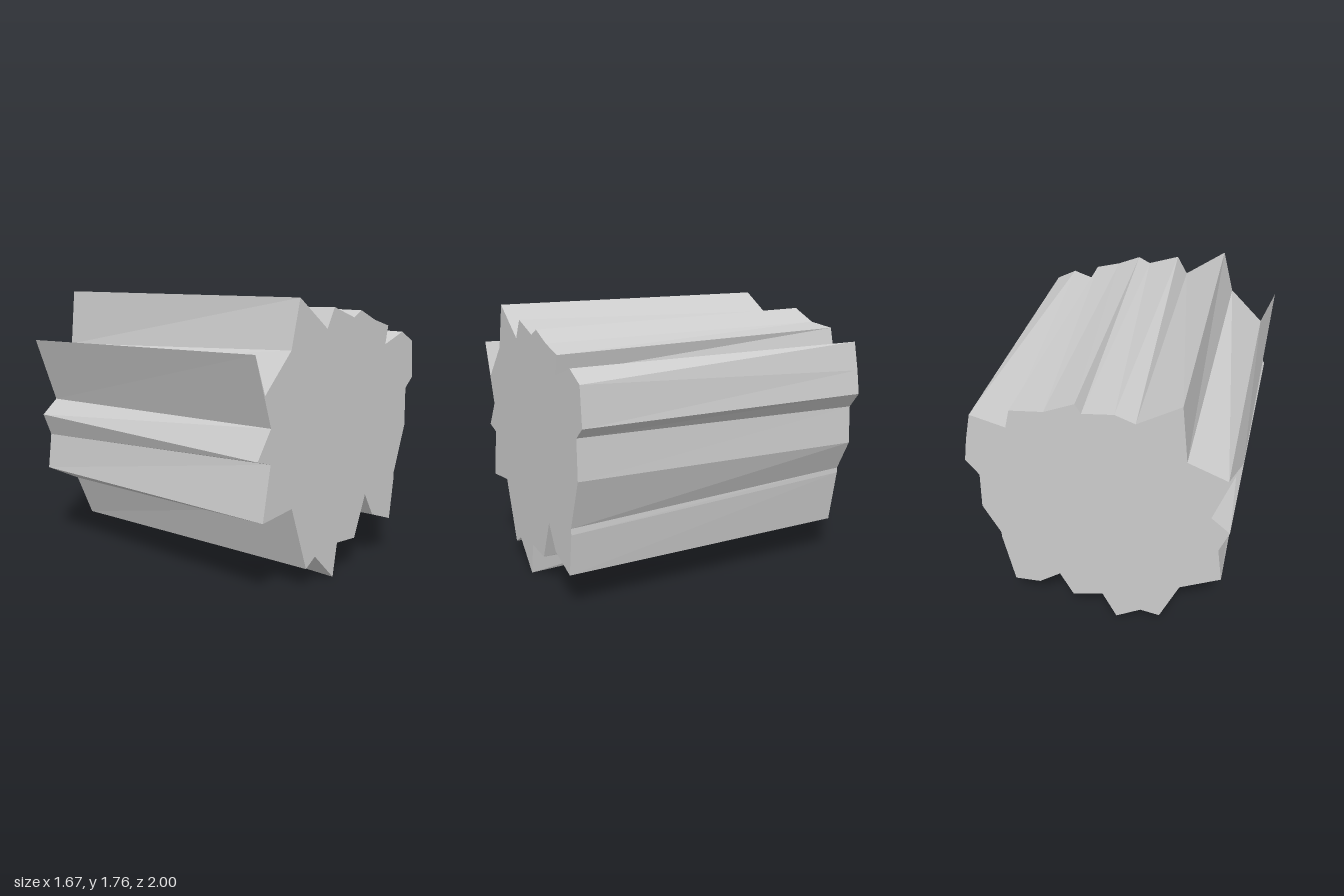
import * as THREE from 'three';

// Jagged outline, clockwise from the upper left: [front x, front y, back x, back y]
const OUTLINE = [
  [-0.45, 1.76, -0.48, 1.757], [-0.18, 1.57, -0.22, 1.605], [-0.11, 1.695, -0.1, 1.65],
  [0.1, 1.625, 0.09, 1.63], [0.18, 1.665, 0.125, 1.69], [0.335, 1.6, 0.31, 1.61],
  [0.5, 1.555, 0.515, 1.59], [0.47, 1.435, 0.545, 1.467], [0.68, 1.505, 0.76, 1.525],
  [0.815, 1.435, 0.8, 1.34], [0.835, 1.19, 0.825, 1.185], [0.75, 1.12, 0.745, 1.085],
  [0.755, 0.865, 0.755, 0.835], [0.635, 0.545, 0.65, 0.63], [0.637, 0.505, 0.65, 0.595],
  [0.597, 0.235, 0.585, 0.235], [0.38, 0.31, 0.42, 0.24], [0.283, 0.468, 0.28, 0.34],
  [0.17, 0.2, 0.195, 0.17], [-0.025, 0.215, 0, 0.215], [-0.065, 0, -0.09, 0.027],
  [-0.26, 0.185, -0.25, 0.12], [-0.35, 0.13, -0.375, 0.098], [-0.5, 0.54, -0.5, 0.385],
  [-0.765, 0.51, -0.755, 0.51], [-0.7, 0.84, -0.725, 0.75], [-0.815, 0.873, -0.785, 0.9],
  [-0.7, 1.045, -0.67, 1.0], [-0.84, 1.467, -0.825, 1.43], [-0.755, 1.235, -0.755, 1.287],
  [-0.525, 1.467, -0.515, 1.385],
];
const HALF_LENGTH = 1;

// Flat end face; the back one is drawn mirrored and then turned around
function endFace(points) {
  return new THREE.ShapeGeometry(new THREE.Shape(points)).translate(0, 0, HALF_LENGTH);
}

// Ridged side wall joining the front and back outlines
function sideWall() {
  const positions = [];
  OUTLINE.forEach((a, i) => {
    const b = OUTLINE[(i + 1) % OUTLINE.length];
    const frontA = [a[0], a[1], HALF_LENGTH], backA = [a[2], a[3], -HALF_LENGTH];
    const frontB = [b[0], b[1], HALF_LENGTH], backB = [b[2], b[3], -HALF_LENGTH];
    positions.push(...frontA, ...frontB, ...backA, ...frontB, ...backB, ...backA);
  });
  const geometry = new THREE.BufferGeometry();
  geometry.setAttribute('position', new THREE.Float32BufferAttribute(positions, 3));
  geometry.computeVertexNormals();
  return geometry;
}

export function createModel() {
  const group = new THREE.Group();
  group.name = 'jaggedColumn';
  const grey = new THREE.MeshStandardMaterial({ color: 0xcccccc });
  grey.name = 'light grey';

  const add = (name, geometry) => {
    const mesh = new THREE.Mesh(geometry, grey);
    mesh.name = name;
    group.add(mesh);
  };

  add('ridgedSide', sideWall());
  add('frontFace', endFace(OUTLINE.map(([x, y]) => new THREE.Vector2(x, y))));
  add('backFace', endFace(OUTLINE.map(([, , x, y]) => new THREE.Vector2(-x, y))).rotateY(Math.PI));
  return group;
}
